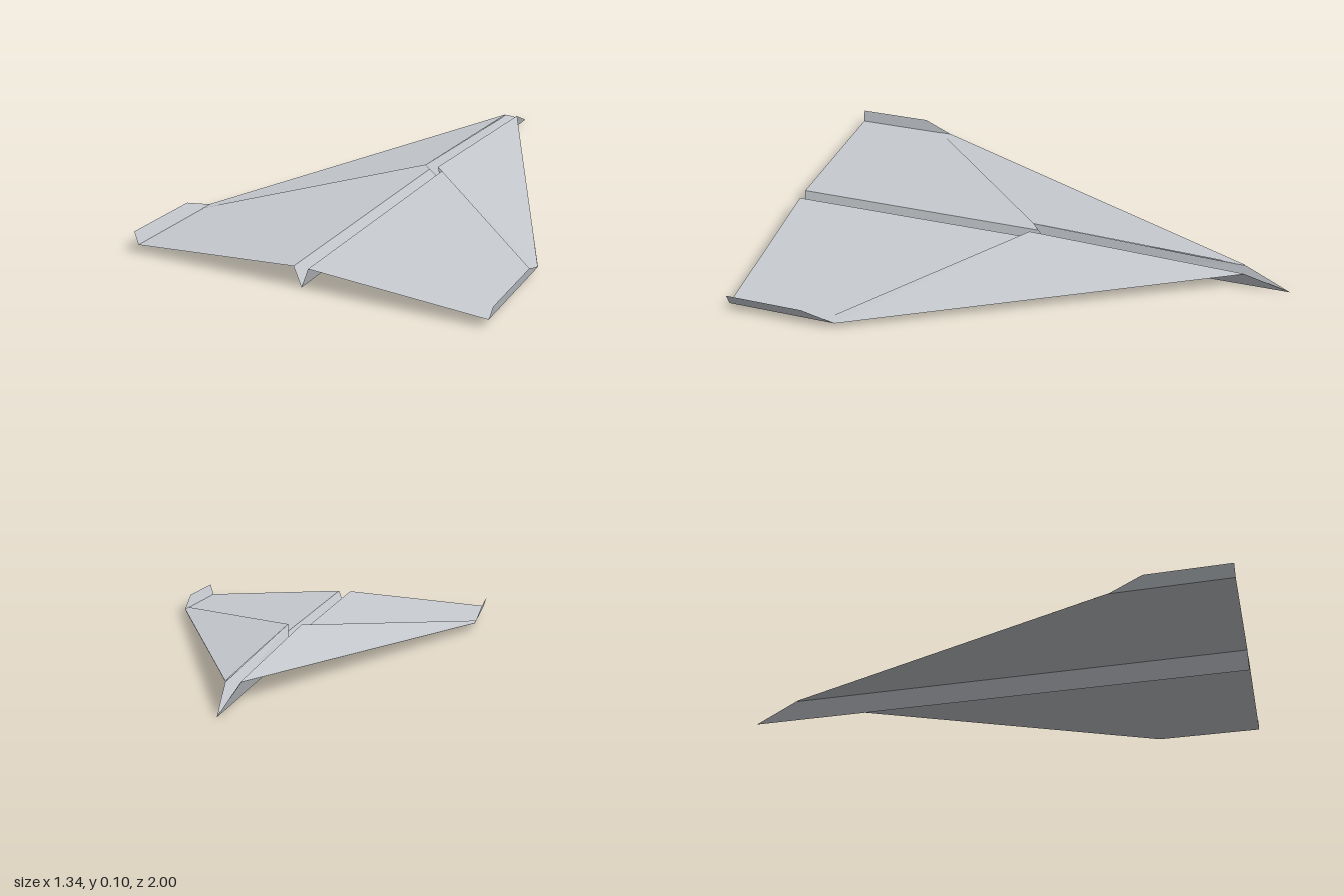
import * as THREE from 'three';

const paper = new THREE.MeshStandardMaterial({ color: 0xc8ccd1, side: THREE.DoubleSide });
paper.name = 'paperGrey';

// One flat sheet of paper from its corners, on side s (+1 left, -1 right)
function sheet(name, s, corners) {
  const order = s > 0 ? corners : [...corners].reverse();
  const points = [];
  for (let i = 1; i < order.length - 1; i++) {
    for (const [x, y, z] of [order[0], order[i], order[i + 1]]) points.push(x * s, y, z);
  }
  const geometry = new THREE.BufferGeometry();
  geometry.setAttribute('position', new THREE.Float32BufferAttribute(points, 3));
  geometry.computeVertexNormals();
  const mesh = new THREE.Mesh(geometry, paper);
  mesh.name = name;
  return mesh;
}

export function createModel() {
  const plane = new THREE.Group();
  plane.name = 'paperPlane';

  // Shared fold corners of one half
  const nose = [0, 0, -1];
  const keelTail = [0, 0, 1];
  const shoulder = [0.027, 0.071, -0.82];
  const wingRootTail = [0.027, 0.071, 1];
  const wingTip = [0.656, 0.028, 0.58];
  const wingTipTail = [0.656, 0.028, 1];
  const flapPeak = [0.027, 0.1, 0.02];

  for (const [side, s] of [['left', 1], ['right', -1]]) {
    // Main folded sheet: keel wall, wing and upturned winglet
    plane.add(sheet(side + 'Keel', s, [nose, keelTail, wingRootTail, shoulder]));
    plane.add(sheet(side + 'Wing', s, [shoulder, wingRootTail, wingTipTail, wingTip]));
    plane.add(sheet(side + 'Winglet', s, [wingTip, wingTipTail, [0.67, 0.075, 1], [0.67, 0.075, 0.7]]));

    // Raised upper layer of the nose fold, over the wing and down into the keel
    plane.add(sheet(side + 'UpperFlap', s, [
      flapPeak, [0.655, 0.03, 0.63], [0.655, 0.03, 0.58], [0.027, 0.073, -0.82],
    ]));
    plane.add(sheet(side + 'InnerFold', s, [
      [0, 0.002, -0.995], [0, 0.012, -0.06], flapPeak, [0.025, 0.071, -0.82],
    ]));
  }
  return plane;
}
